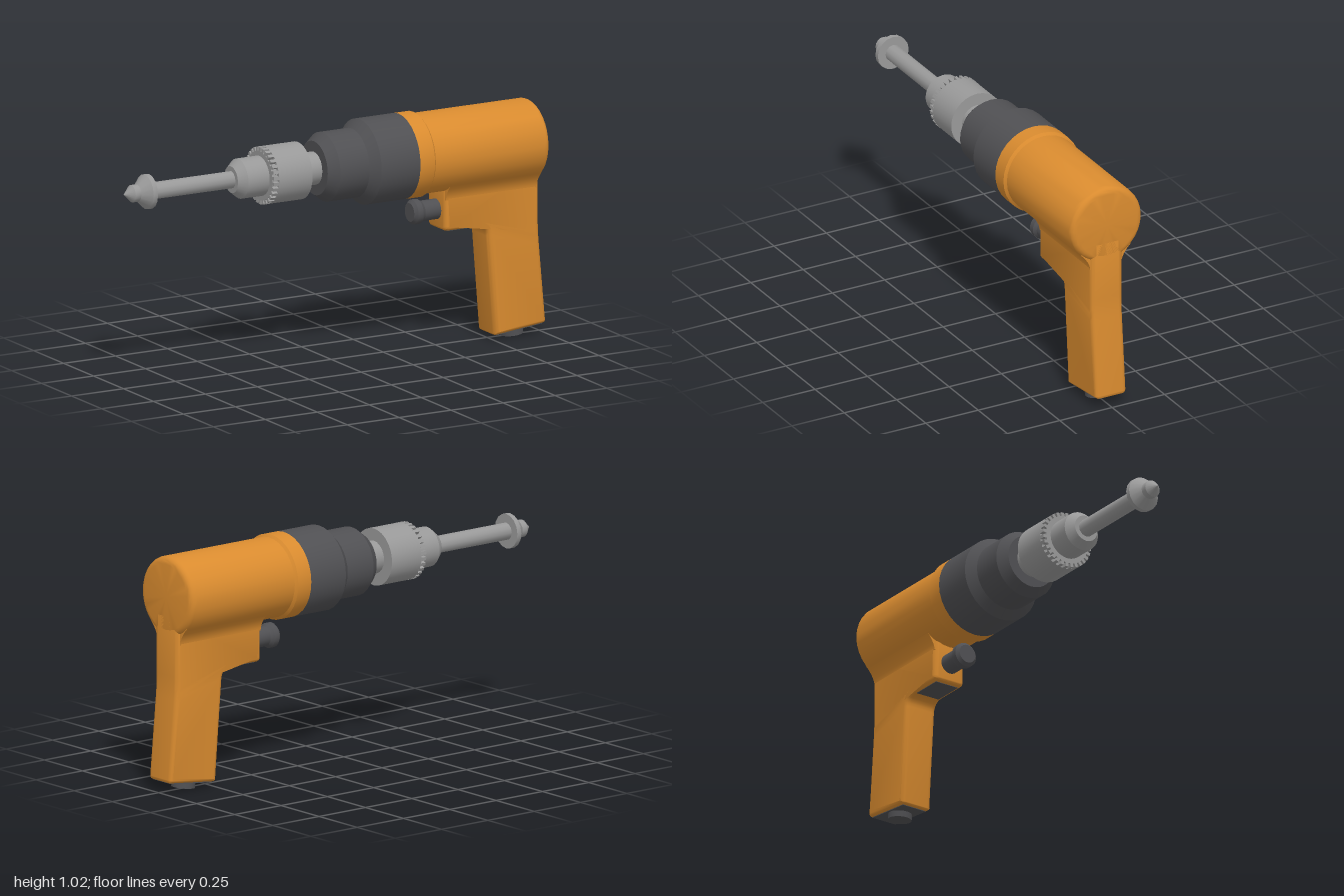
import * as THREE from 'three';
import { toCreasedNormals } from 'three/addons/utils/BufferGeometryUtils.js';

const AXIS_Y = 0.834;

function material(name, color) {
  const m = new THREE.MeshStandardMaterial({ color });
  m.name = name;
  return m;
}

// Closed outline with a corner radius per point: [x, y, radius]
function roundedShape(pts) {
  const shape = new THREE.Shape();
  pts.forEach(([x, y, r], i) => {
    const p = new THREE.Vector2(x, y);
    const toward = (q) => new THREE.Vector2(q[0], q[1]).sub(p).setLength(r).add(p);
    const a = toward(pts[(i + pts.length - 1) % pts.length]);
    const b = toward(pts[(i + 1) % pts.length]);
    if (i) shape.lineTo(a.x, a.y); else shape.moveTo(a.x, a.y);
    shape.quadraticCurveTo(x, y, b.x, b.y);
  });
  shape.closePath();
  return shape;
}

export function createModel() {
  const group = new THREE.Group();
  const orange = material('orange housing', 0xd98b2f);
  const dark = material('dark grey', 0x505053);
  const steel = material('steel', 0x999999);

  function add(name, geometry, mat, parent = group) {
    const mesh = new THREE.Mesh(geometry, mat);
    mesh.name = name;
    parent.add(mesh);
    return mesh;
  }

  // Turned part lying along x; profile is [x, radius] with x rising
  function turned(name, profile, mat, sides = 32, y = AXIS_Y) {
    const pts = profile.map(([x, r]) => new THREE.Vector2(r, x));
    const geo = new THREE.LatheGeometry(pts, sides).rotateZ(-Math.PI / 2);
    add(name, toCreasedNormals(geo, 0.55), mat).position.y = y;
  }

  // Motor housing with rounded back edge, and its front collar
  const back = [];
  for (let i = 0; i <= 5; i++) {
    const a = (i / 5) * Math.PI / 2;
    back.push([0.93 + 0.03 * Math.sin(a), 0.141 + 0.03 * Math.cos(a)]);
  }
  turned('motorHousing', [[0.39, 0], [0.39, 0.171], ...back, [0.96, 0]], orange);
  turned('housingCollar', [[0.325, 0], [0.325, 0.182], [0.395, 0.182], [0.405, 0.171], [0.405, 0]], orange);

  // Stepped gearbox
  turned('gearbox', [[-0.083, 0], [-0.083, 0.115], [-0.04, 0.147], [0.1, 0.147],
    [0.138, 0.182], [0.325, 0.182], [0.325, 0]], dark);

  // Spindle, chuck and jaw sleeve
  turned('spindle', [[-0.17, 0.07], [-0.075, 0.07]], steel, 20);
  turned('chuckBody', [[-0.32, 0], [-0.32, 0.122], [-0.16, 0.122], [-0.16, 0]], steel, 28);
  turned('chuckSleeve', [[-0.482, 0], [-0.482, 0.057], [-0.447, 0.085], [-0.345, 0.085],
    [-0.345, 0.106], [-0.315, 0.106]], steel, 28);

  // Ring of chuck key teeth
  const teeth = new THREE.Group();
  teeth.name = 'chuckTeeth';
  teeth.position.set(-0.331, AXIS_Y, 0);
  group.add(teeth);
  const toothGeo = new THREE.BoxGeometry(0.028, 0.03, 0.014).translate(0, 0.107, 0);
  for (let i = 0; i < 30; i++) {
    add('tooth', toothGeo, steel, teeth).rotation.x = (i / 30) * Math.PI * 2;
  }

  // Bit shank with flanged countersink tip
  turned('bitShank', [[-0.89, 0.037], [-0.47, 0.037]], steel, 12);
  turned('bitTip', [[-1, 0], [-0.962, 0.037], [-0.935, 0.037], [-0.897, 0.074],
    [-0.876, 0.074], [-0.876, 0]], steel, 16);

  // Pistol grip with trigger block
  const gripShape = roundedShape([
    [0.505, 0.76, 0.01], [0.505, 0.5, 0.02], [0.708, 0.5, 0.045], [0.746, 0.021, 0.014],
    [0.996, 0.049, 0.014], [0.96, 0.45, 0.05], [0.96, 0.76, 0.01],
  ]);
  const grip = new THREE.ExtrudeGeometry(gripShape, {
    depth: 0.106, bevelEnabled: true, bevelThickness: 0.022, bevelSize: 0.022,
    bevelOffset: -0.022, bevelSegments: 4, curveSegments: 6,
  }).translate(0, 0, -0.053);
  add('grip', toCreasedNormals(grip, 0.6), orange);

  // Flared blend between grip and housing
  const flare = new THREE.Shape();
  flare.moveTo(-0.074, 0.635);
  flare.lineTo(0.074, 0.635);
  flare.quadraticCurveTo(0.076, 0.672, 0.118, 0.713);
  flare.lineTo(-0.118, 0.713);
  flare.quadraticCurveTo(-0.076, 0.672, -0.074, 0.635);
  const flareGeo = new THREE.ExtrudeGeometry(flare, { depth: 0.435, bevelEnabled: false, curveSegments: 6 })
    .rotateY(Math.PI / 2).translate(0.51, 0, 0);
  add('gripBlend', toCreasedNormals(flareGeo, 0.6), orange);

  // Dark underside plates and the plug in the grip base
  const tilt = Math.atan2(0.028, 0.25);
  const base = add('gripBasePlate', new THREE.BoxGeometry(0.222, 0.008, 0.115), dark);
  base.position.set(0.871, 0.0365, 0);
  base.rotation.z = tilt;
  add('triggerBlockPlate', new THREE.BoxGeometry(0.14, 0.006, 0.11), dark).position.set(0.595, 0.501, 0);
  const plug = add('basePlug', new THREE.CylinderGeometry(0.05, 0.05, 0.03, 20), dark);
  plug.position.set(0.866, 0.021, 0);
  plug.rotation.z = tilt;

  // Trigger button
  turned('trigger', [[0.377, 0], [0.377, 0.04], [0.39, 0.053], [0.415, 0.053], [0.43, 0.043],
    [0.515, 0.043]], dark, 20, 0.585);

  return group;
}
